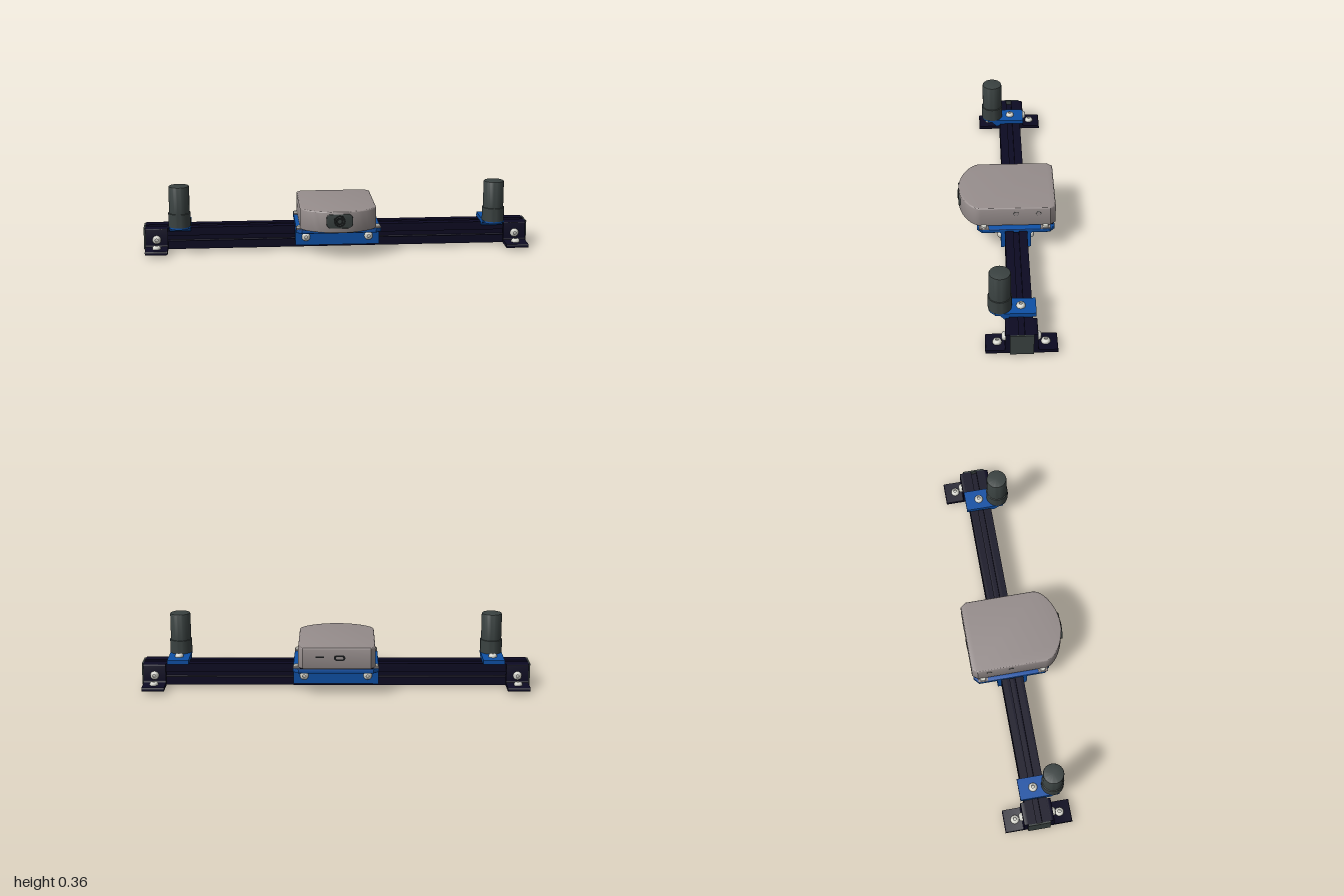
import * as THREE from 'three';
import { toCreasedNormals } from 'three/addons/utils/BufferGeometryUtils.js';

const paint = (name, color) => Object.assign(new THREE.MeshStandardMaterial({ color }), { name });

export function createModel() {
  const navy = paint('navy anodised', 0x0c0a22);
  const blue = paint('blue bracket', 0x0d50a5);
  const grey = paint('warm grey case', 0x968d8c);
  const dark = paint('gunmetal', 0x3a4241);
  const steel = paint('pale steel', 0xd2d2ca);
  const black = paint('black glass', 0x16191a);

  const model = new THREE.Group();
  const BEAM_Z = -0.044;

  const add = (name, geo, mat, x = 0, y = 0, z = 0, parent = model) => {
    const mesh = new THREE.Mesh(geo, mat);
    mesh.name = name;
    mesh.position.set(x, y, z);
    parent.add(mesh);
    return mesh;
  };
  const polygon = pts => new THREE.Shape(pts.map(p => new THREE.Vector2(...p)));
  const extrude = (shape, depth, bevel = 0) => {
    const geo = new THREE.ExtrudeGeometry(shape, {
      depth: depth - 2 * bevel, curveSegments: 12, bevelEnabled: bevel > 0,
      bevelSize: bevel, bevelOffset: -bevel, bevelThickness: bevel, bevelSegments: 3,
    });
    return toCreasedNormals(geo.translate(0, 0, bevel), 0.6);
  };
  // (z, y) profile drawn out along x, centred
  const alongX = (shape, width, bevel) =>
    extrude(shape, width, bevel).translate(0, 0, -width / 2).rotateY(-Math.PI / 2);
  // (x, -z) plan raised upward from y = 0
  const upward = (shape, height, bevel) => extrude(shape, height, bevel).rotateX(-Math.PI / 2);
  const lathe = (pts, sides = 32) =>
    toCreasedNormals(new THREE.LatheGeometry(pts.map(p => new THREE.Vector2(...p)), sides), 0.6);
  const roundedRect = (w, h, r) => {
    const s = new THREE.Shape(), a = w / 2 - r, b = h / 2 - r;
    s.absarc(a, b, r, 0, Math.PI / 2);
    s.absarc(-a, b, r, Math.PI / 2, Math.PI);
    s.absarc(-a, -b, r, Math.PI, Math.PI * 1.5);
    s.absarc(a, -b, r, Math.PI * 1.5, Math.PI * 2);
    return s;
  };

  // Button-head screw, standing on y = 0 with its shank below
  const screwGeo = lathe([[0, -0.031], [0.01, -0.031], [0.01, 0], [0.022, 0], [0.022, 0.005],
    [0.019, 0.012], [0.014, 0.016], [0.008, 0.0175], [0.008, 0.009], [0, 0.009]], 24);
  const screw = (name, x, y, z, tilt = 0) => {
    add(name, screwGeo, steel, x, y, z).rotation.x = tilt;
  };

  // Slotted beam: one side of the section repeated four times
  const h = 0.057, side = [[-h, h], [-0.014, h], [-0.014, h - 0.008], [-0.026, h - 0.008],
    [-0.014, h - 0.026], [0.014, h - 0.026], [0.026, h - 0.008], [0.014, h - 0.008], [0.014, h]];
  const section = [];
  for (let i = 0; i < 4; i++) {
    const a = -i * Math.PI / 2, c = Math.cos(a), s = Math.sin(a);
    for (const [x, y] of side) section.push([x * c - y * s, x * s + y * c]);
  }
  add('beam', alongX(polygon(section.reverse()), 1.984), navy, 0, 0.07, BEAM_Z);

  // Foot bracket profile: upright against the beam, rounded foot outward
  const foot = new THREE.Shape();
  foot.moveTo(0, 0);
  foot.lineTo(0.115, 0);
  foot.lineTo(0.115, 0.009);
  foot.quadraticCurveTo(0.115, 0.018, 0.106, 0.018);
  foot.lineTo(0.03, 0.018);
  foot.quadraticCurveTo(0.02, 0.018, 0.02, 0.028);
  foot.lineTo(0.02, 0.106);
  foot.quadraticCurveTo(0.02, 0.114, 0.012, 0.114);
  foot.lineTo(0, 0.114);
  const footGeo = alongX(foot, 0.115);

  // Blue post mount: plate on the beam with a sloped lip below the post
  const mountGeo = alongX(polygon([[-0.118, 0.127], [0.013, 0.127], [0.013, 0.114], [0.035, 0.114],
    [0.055, 0.136], [0.08, 0.138], [0.08, 0.149], [-0.118, 0.149]]), 0.11);
  const postGeo = lathe([[0, 0], [0.057, 0], [0.057, 0.07], [0.0525, 0.071], [0.0525, 0.204],
    [0.0505, 0.209], [0.047, 0.21], [0, 0.21]], 40);

  for (const s of [1, -1]) {
    add('beamEndCap', new THREE.BoxGeometry(0.008, 0.114, 0.114), dark, s * 0.996, 0.07, BEAM_Z);
    add('postMount', mountGeo, blue, s * 0.812, 0, 0);
    add('postMountNose', new THREE.CylinderGeometry(0.055, 0.055, 0.011, 32), blue, s * 0.812, 0.1435, 0.055);
    add('post', postGeo, dark, s * 0.812, 0.148, 0.055);
    screw('postMountScrew', s * 0.812, 0.149, -0.045);
    for (const f of [1, -1]) {
      const face = BEAM_Z + f * 0.077, tilt = f * Math.PI / 2;
      add('footBracket', footGeo, navy, s * 0.933, 0.013, BEAM_Z + f * 0.057)
        .rotation.y = f > 0 ? 0 : Math.PI;
      screw('footScrew', s * 0.933, 0.031, BEAM_Z + f * 0.115);
      screw('bracketScrew', s * 0.933, 0.07, face, tilt);
      screw('saddleScrew', s * 0.163, 0.07, face, tilt);
    }
  }

  // Blue saddle: tray over the beam with a cheek on each side
  const tray = polygon([[-0.218, -0.13], [-0.19, -0.155], [0.19, -0.155], [0.218, -0.13],
    [0.218, 0.217], [0.19, 0.242], [-0.19, 0.242], [-0.218, 0.217]]);
  add('saddleTray', upward(tray, 0.021, 0.003), blue, 0, 0.117, 0);
  const cheek = new THREE.Shape();
  cheek.moveTo(0, 0);
  cheek.lineTo(0.02, 0);
  cheek.lineTo(0.02, 0.08);
  cheek.quadraticCurveTo(0.02, 0.095, 0.035, 0.095);
  cheek.lineTo(0, 0.095);
  const cheekGeo = alongX(cheek, 0.436);
  for (const f of [1, -1])
    add('saddleCheek', cheekGeo, blue, 0, 0.025, BEAM_Z + f * 0.057).rotation.y = f > 0 ? 0 : Math.PI;

  // Case: flat back with clipped corners, bowed front
  const plan = new THREE.Shape();
  plan.moveTo(-0.195, 0.22);
  plan.lineTo(-0.195, -0.135);
  plan.bezierCurveTo(-0.195, -0.185, -0.1, -0.247, 0, -0.247);
  plan.bezierCurveTo(0.1, -0.247, 0.195, -0.185, 0.195, -0.135);
  plan.lineTo(0.195, 0.22);
  plan.lineTo(0.172, 0.248);
  plan.lineTo(-0.172, 0.248);
  const sensor = new THREE.Group();
  sensor.name = 'sensorUnit';
  sensor.position.x = -0.004;
  model.add(sensor);
  add('case', upward(plan, 0.11, 0.006), grey, 0, 0.142, 0, sensor);
  add('caseGasket', new THREE.BoxGeometry(0.37, 0.006, 0.37), navy, 0, 0.14, -0.05, sensor);

  // Corner ears with low screws
  for (const x of [-0.2, 0.2]) for (const z of [-0.195, 0.12]) {
    add('caseEar', new THREE.BoxGeometry(0.034, 0.006, 0.05), grey, x, 0.141, z);
    add('earScrew', new THREE.CylinderGeometry(0.014, 0.016, 0.008, 20), steel, x, 0.148, z);
  }

  // Front window and lens
  add('window', extrude(roundedRect(0.135, 0.074, 0.026), 0.03, 0.003), dark, 0, 0.204, 0.218, sensor);
  const disc = (r, t) => new THREE.CylinderGeometry(r, r, t, 32).rotateX(Math.PI / 2);
  add('lens', disc(0.03, 0.004), black, 0, 0.204, 0.248, sensor);
  add('lensRing', new THREE.TorusGeometry(0.02, 0.002, 8, 32), dark, 0, 0.204, 0.25, sensor);
  add('lensCentre', disc(0.009, 0.004), dark, 0, 0.204, 0.249, sensor);

  // Side plugs
  for (const s of [1, -1]) for (const z of [-0.045, -0.16]) {
    add('plugRim', disc(0.013, 0.002).rotateY(Math.PI / 2), dark, s * 0.1952, 0.217, z, sensor);
    add('plug', disc(0.0115, 0.003).rotateY(Math.PI / 2), grey, s * 0.1952, 0.217, z, sensor);
  }

  // Rear ports
  add('cardSlot', extrude(roundedRect(0.042, 0.008, 0.003), 0.004), black, 0.085, 0.205, -0.25, sensor);
  add('portRim', extrude(roundedRect(0.056, 0.028, 0.012), 0.004), black, -0.015, 0.2, -0.25, sensor);
  add('portTongue', extrude(roundedRect(0.036, 0.011, 0.004), 0.004), grey, -0.015, 0.2, -0.251, sensor);

  return model;
}
